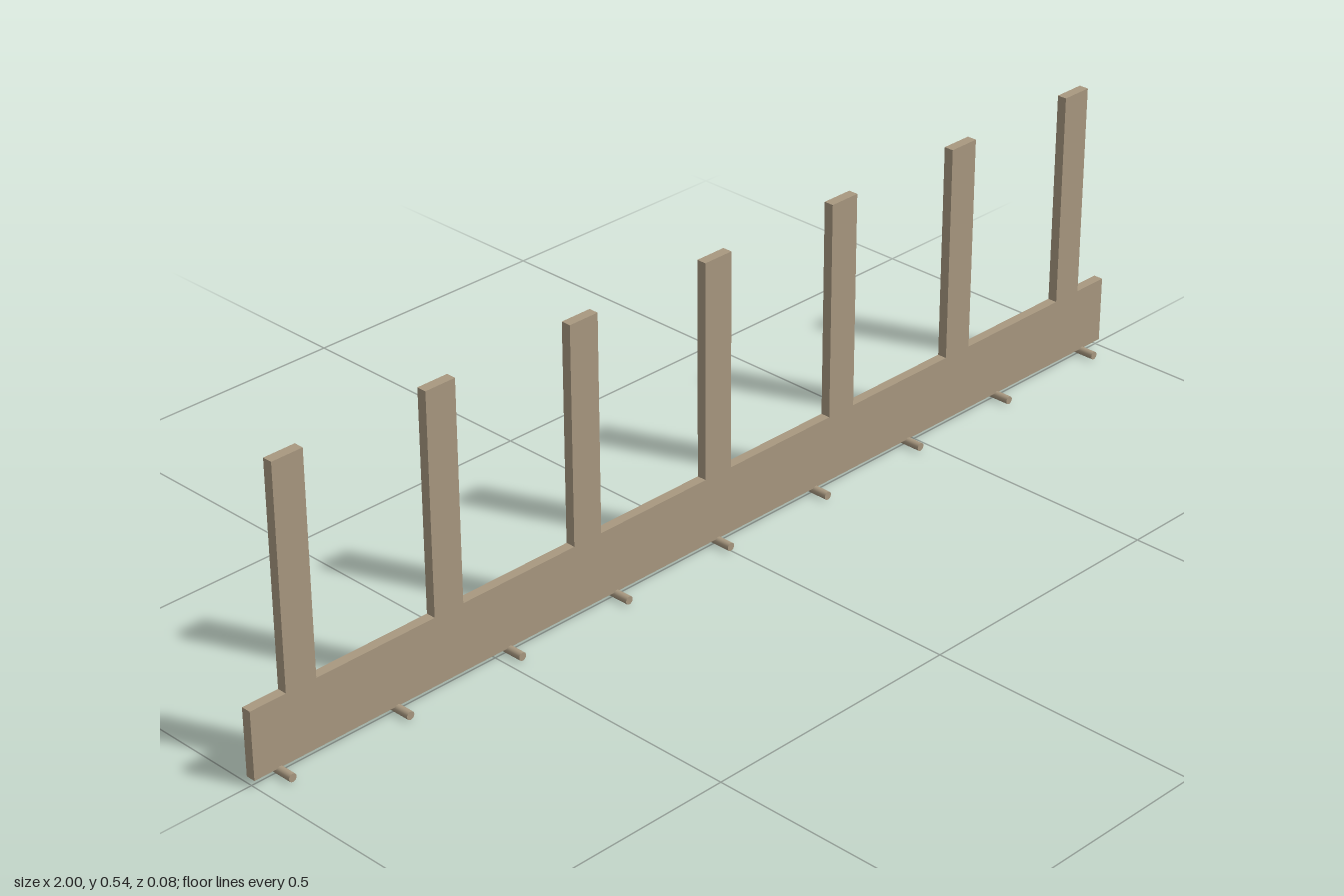
import * as THREE from 'three';

export function createModel() {
  const group = new THREE.Group();
  const wood = new THREE.MeshStandardMaterial({ color: 0xa89880 });
  wood.name = 'weatheredWood';

  const depth = 0.018, bottom = 0.012, railTop = 0.136, top = 0.535, half = 0.03;

  // Rail and seven upright slats cut as one board
  const outline = new THREE.Shape();
  outline.moveTo(-1, bottom);
  outline.lineTo(1, bottom);
  outline.lineTo(1, railTop);
  for (let i = 3; i >= -3; i--) {
    const x = i * 0.3;
    outline.lineTo(x + half, railTop);
    outline.lineTo(x + half, top);
    outline.lineTo(x - half, top);
    outline.lineTo(x - half, railTop);
  }
  outline.lineTo(-1, railTop);
  outline.closePath();
  const boardGeometry = new THREE.ExtrudeGeometry(outline, { depth, bevelEnabled: false });
  boardGeometry.translate(0, 0, -depth / 2 - 0.001);
  const board = new THREE.Mesh(boardGeometry, wood);
  board.name = 'slattedBoard';
  group.add(board);

  // Round cross pegs under the rail
  const pegGeometry = new THREE.CylinderGeometry(0.0075, 0.0075, 0.075, 16);
  pegGeometry.rotateX(Math.PI / 2);
  for (let i = -4; i <= 4; i++) {
    const peg = new THREE.Mesh(pegGeometry, wood);
    peg.name = 'crossPeg';
    peg.position.set(i * 0.2375, 0.0075, 0);
    group.add(peg);
  }
  return group;
}
